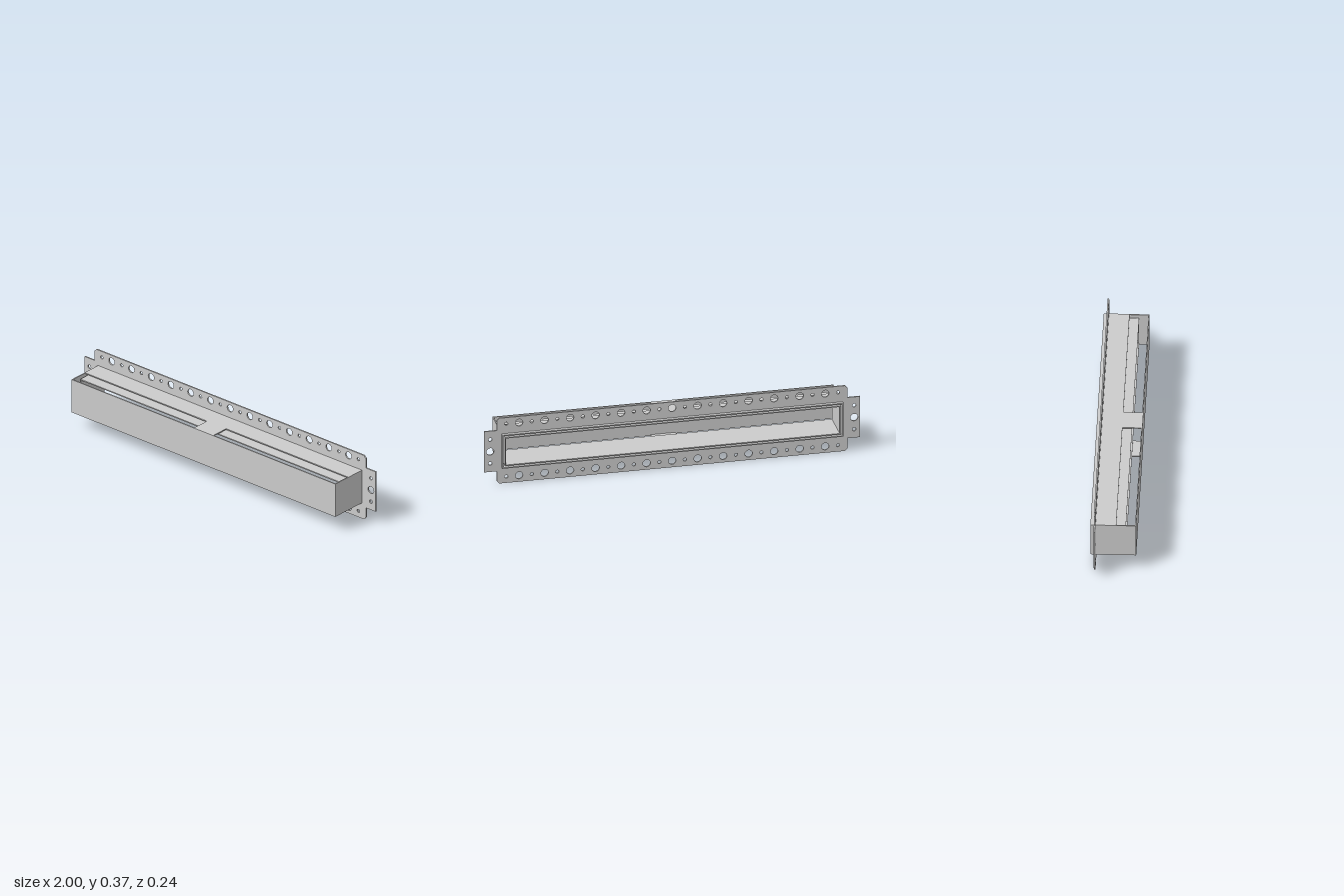
import * as THREE from 'three';

const material = new THREE.MeshStandardMaterial({ color: 0xcccccc, flatShading: true });

const HALF = 0.907;           // half length of the housing
const Y0 = 0.091, Y1 = 0.282; // housing bottom and top
const MID = (Y0 + Y1) / 2;
const BACK = -0.119, FRONT = 0.119;
const T = 0.006;              // sheet thickness

export function createModel() {
  const group = new THREE.Group();

  const add = (name, geometry) => {
    const mesh = new THREE.Mesh(geometry, material);
    mesh.name = name;
    group.add(mesh);
    return mesh;
  };
  // box given by its lower and upper limits
  const box = (name, x0, x1, y0, y1, z0, z1) => {
    const mesh = add(name, new THREE.BoxGeometry(x1 - x0, y1 - y0, z1 - z0));
    mesh.position.set((x0 + x1) / 2, (y0 + y1) / 2, (z0 + z1) / 2);
  };
  // rectangular hole path
  const rectangle = (x, y0, y1) => new THREE.Path([[-x, y0], [-x, y1], [x, y1], [x, y0]]
    .map(([px, py]) => new THREE.Vector2(px, py)));

  // mounting flange: chamfered plate with an ear at each end
  const W = 0.933, H = 0.372, C = 0.014, E0 = 0.071, E1 = 0.303;
  const half = [[W - C, 0], [W, C], [W, E0], [1, E0], [1, E1], [W, E1], [W, H - C], [W - C, H]];
  const outline = [...half, ...half.map(([x, y]) => [-x, y]).reverse()];
  const flange = new THREE.Shape(outline.map(([x, y]) => new THREE.Vector2(x, y)));

  const hole = (x, y, r) => {
    const path = new THREE.Path();
    path.absarc(x, y, r, 0, Math.PI * 2, true);
    flange.holes.push(path);
  };
  // alternating large and small holes along both long edges
  const pitch = 0.1357;
  for (const y of [0.036, 0.337]) {
    for (let i = -6; i <= 6; i++) hole(i * pitch, y, 0.02);
    for (let i = -6.5; i <= 6.5; i++) hole(i * pitch, y, 0.009);
  }
  // three holes in each ear
  for (const x of [-0.968, 0.968]) {
    hole(x, MID, 0.02);
    hole(x, MID - 0.068, 0.01);
    hole(x, MID + 0.068, 0.01);
  }
  // opening for the housing
  flange.holes.push(rectangle(HALF, Y0, Y1));
  const plate = new THREE.ExtrudeGeometry(flange, { depth: 0.008, bevelEnabled: false, curveSegments: 10 });
  add('mountingFlange', plate.translate(0, 0, -0.1));

  // housing: full-height front and end walls
  box('frontWall', -HALF, HALF, Y0, Y1, FRONT - T, FRONT);
  box('rightEndWall', -HALF, -HALF + T, Y0, Y1, BACK, FRONT - T);
  box('leftEndWall', HALF - T, HALF, Y0, Y1, BACK, FRONT - T);

  // top and bottom panels, each with a central tab between two long slots
  for (const [name, y] of [['bottom', Y0], ['top', Y1 - T]]) {
    box(name + 'Panel', -HALF + T, HALF - T, y, y + T, BACK, 0.015);
    box(name + 'Tab', -0.066, 0.066, y, y + T, 0.015, FRONT - T);
  }

  // inner sleeve: open rectangular duct nested in the housing, ending short of the front wall
  const gap = 0.014, sx = HALF - gap, s0 = Y0 + gap, s1 = Y1 - gap, end = 0.065;
  box('sleeveFloor', -sx, sx, s0, s0 + T, BACK, end);
  box('sleeveCeiling', -sx, sx, s1 - T, s1, BACK, end);
  box('sleeveRightSide', -sx, -sx + T, s0 + T, s1 - T, BACK, end);
  box('sleeveLeftSide', sx - T, sx, s0 + T, s1 - T, BACK, end);

  return group;
}
